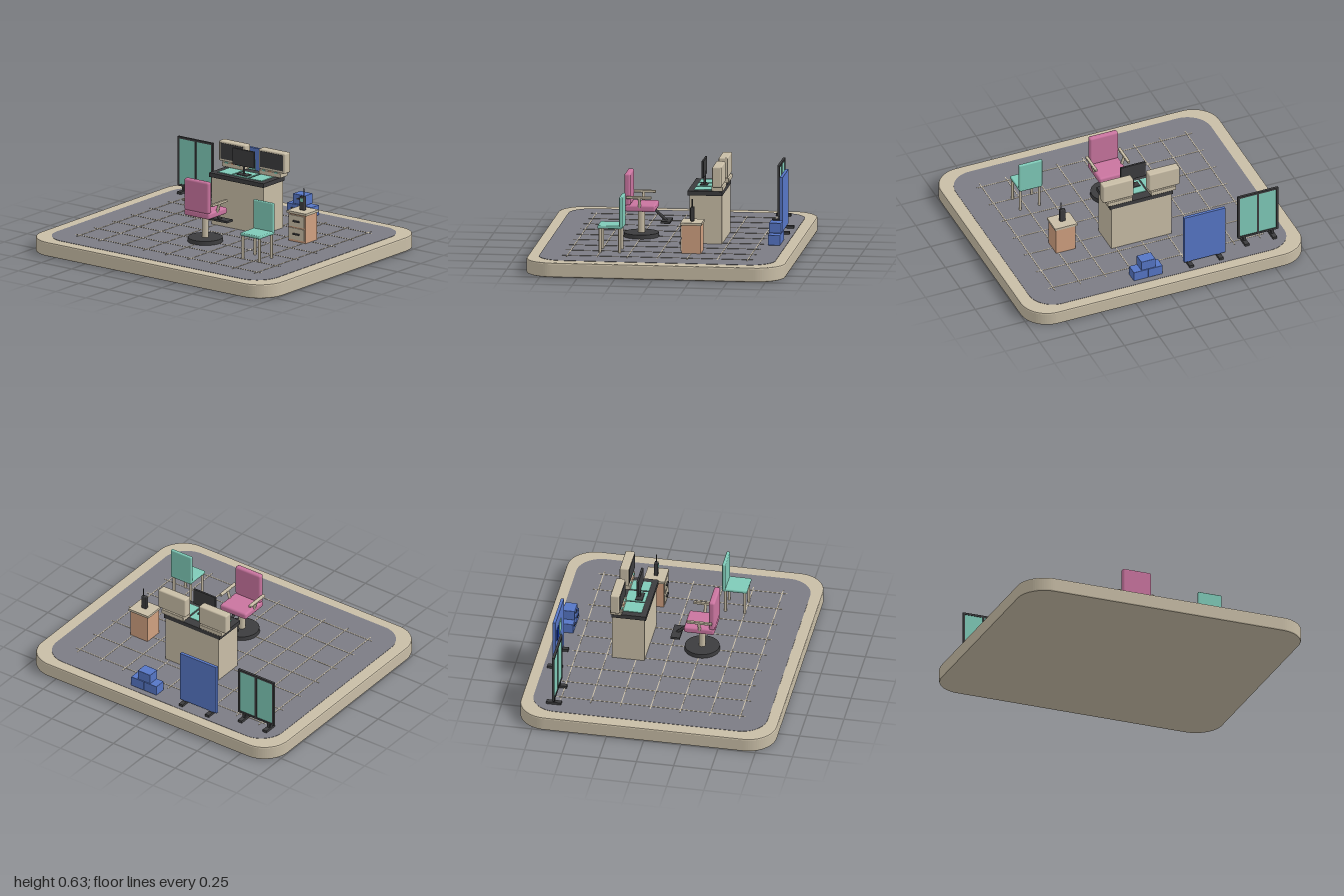
import * as THREE from 'three';
import { RoundedBoxGeometry } from 'three/addons/geometries/RoundedBoxGeometry.js';

function mat(name, color) {
  const m = new THREE.MeshStandardMaterial({ color });
  m.name = name;
  return m;
}

export function createModel() {
  const beige = mat('beige', 0xc8bda6), dark = mat('charcoal', 0x3c3c3e), gray = mat('floorGray', 0x7c7c84);
  const mint = mat('mint', 0x7fcab8), pink = mat('pink', 0xc9749f), blue = mat('blue', 0x5676c6);
  const deepBlue = mat('deepBlue', 0x1040d0), wood = mat('wood', 0xd0a080);
  const model = new THREE.Group();
  model.name = 'officeDiorama';

  const group = (name) => {
    const g = new THREE.Group();
    g.name = name;
    model.add(g);
    return g;
  };
  const put = (parent, name, geo, material, x = 0, y = 0, z = 0) => {
    const m = new THREE.Mesh(geo, material);
    m.name = name;
    m.position.set(x, y, z);
    parent.add(m);
    return m;
  };
  // Box given by its limits on each axis; r rounds the edges
  const box = (parent, name, material, x0, x1, y0, y1, z0, z1, r = 0) => {
    const s = [x1 - x0, y1 - y0, z1 - z0];
    const geo = r ? new RoundedBoxGeometry(...s, 2, r) : new THREE.BoxGeometry(...s);
    return put(parent, name, geo, material, (x0 + x1) / 2, (y0 + y1) / 2, (z0 + z1) / 2);
  };
  // Straight round bar between two points
  const bar = (parent, name, material, a, b, r) => {
    const p = new THREE.Vector3(...a), q = new THREE.Vector3(...b), d = q.clone().sub(p);
    const m = put(parent, name, new THREE.CylinderGeometry(r, r, d.length(), 12), material);
    m.position.copy(p).add(q).multiplyScalar(0.5);
    m.quaternion.setFromUnitVectors(new THREE.Vector3(0, 1, 0), d.normalize());
    return m;
  };
  // Horizontal slab with rounded corners
  const slab = (name, material, hx, hz, r, y0, y1, bevel) => {
    const x = hx - bevel, z = hz - bevel, c = r - bevel;
    const s = new THREE.Shape();
    s.absarc(x - c, z - c, c, 0, Math.PI / 2);
    s.absarc(-x + c, z - c, c, Math.PI / 2, Math.PI);
    s.absarc(-x + c, -z + c, c, Math.PI, Math.PI * 1.5);
    s.absarc(x - c, -z + c, c, Math.PI * 1.5, Math.PI * 2);
    const geo = new THREE.ExtrudeGeometry(s, {
      depth: y1 - y0 - 2 * bevel, bevelEnabled: bevel > 0, bevelSize: bevel,
      bevelThickness: bevel, bevelSegments: 2, curveSegments: 10,
    });
    geo.rotateX(-Math.PI / 2);
    put(model, name, geo, material, 0, y0 + bevel, 0);
  };

  // Platform, carpet and floor grid
  slab('platform', beige, 1, 0.86, 0.19, 0, 0.098, 0.01);
  slab('floor', gray, 0.915, 0.785, 0.17, 0.09, 0.1, 0);
  const grid = group('floorGrid');
  for (let i = -4; i <= 4; i++) {
    const x = i * 0.184;
    box(grid, 'gridLineLong', beige, x - 0.003, x + 0.003, 0.099, 0.102, -0.635, 0.635);
  }
  for (let i = -3; i <= 3; i++) {
    const z = i * 0.2;
    box(grid, 'gridLineCross', beige, -0.77, 0.77, 0.099, 0.1017, z - 0.003, z + 0.003);
  }

  // Desk with three mint pads
  const desk = group('desk');
  box(desk, 'deskBody', beige, -0.215, 0.215, 0.1, 0.424, -0.36, -0.145);
  box(desk, 'deskTop', dark, -0.225, 0.225, 0.424, 0.453, -0.363, -0.132);
  for (const [x0, x1] of [[-0.182, -0.07], [-0.057, 0.062], [0.078, 0.182]])
    box(desk, 'deskPad', mint, x0, x1, 0.452, 0.457, -0.3, -0.17);

  // Two rear monitors on trays
  for (const s of [-1, 1]) {
    const g = group(s < 0 ? 'rightRearMonitor' : 'leftRearMonitor');
    const cx = s * 0.165;
    box(g, 'tray', beige, s * 0.155 - 0.09, s * 0.155 + 0.09, 0.457, 0.489, -0.37, -0.293, 0.005);
    box(g, 'monitorCase', beige, cx - 0.11, cx + 0.11, 0.489, 0.627, -0.363, -0.302, 0.009);
    box(g, 'screen', dark, cx - 0.094, cx + 0.094, 0.506, 0.614, -0.304, -0.299);
    for (let i = -1; i <= 1; i++)
      box(g, 'trayButton', i ? mint : wood, s * 0.155 + i * 0.05 - 0.012, s * 0.155 + i * 0.05 + 0.012, 0.482, 0.492, -0.3, -0.292);
  }

  // Slim centre monitor
  const centre = group('centreMonitor');
  box(centre, 'monitorFoot', dark, -0.045, 0.045, 0.453, 0.463, -0.24, -0.19, 0.003);
  bar(centre, 'monitorPost', dark, [0, 0.46, -0.217], [0, 0.55, -0.217], 0.008);
  box(centre, 'monitorPanel', dark, -0.09, 0.09, 0.515, 0.63, -0.223, -0.208, 0.004);

  // Drawer cabinet
  const cabinet = group('drawerCabinet');
  box(cabinet, 'cabinetBody', wood, 0.43, 0.57, 0.1, 0.29, -0.265, -0.138);
  box(cabinet, 'cabinetTop', beige, 0.42, 0.58, 0.29, 0.306, -0.272, -0.13);
  for (const y of [0.155, 0.243]) {
    box(cabinet, 'drawerFront', beige, 0.436, 0.564, y - 0.039, y + 0.039, -0.139, -0.131);
    box(cabinet, 'drawerHandle', dark, 0.475, 0.525, y - 0.005, y + 0.005, -0.132, -0.12);
  }

  // Cordless phone on the cabinet
  const phone = group('phone');
  box(phone, 'phoneBody', dark, 0.48, 0.52, 0.306, 0.4, -0.214, -0.188, 0.006);
  box(phone, 'phoneScreen', mint, 0.487, 0.513, 0.365, 0.388, -0.19, -0.186);
  bar(phone, 'antenna', dark, [0.509, 0.395, -0.201], [0.509, 0.455, -0.201], 0.004);

  // Pink treatment chair, facing the desk
  const chair = group('pinkChair');
  put(chair, 'chairBase', new THREE.CylinderGeometry(0.115, 0.118, 0.027, 32), dark, 0, 0.1135, 0.203);
  bar(chair, 'chairPost', beige, [0, 0.12, 0.203], [0, 0.285, 0.203], 0.022);
  box(chair, 'chairSeat', pink, -0.105, 0.105, 0.28, 0.325, 0.098, 0.302, 0.014);
  box(chair, 'chairBack', pink, -0.102, 0.102, 0.318, 0.535, 0.265, 0.305, 0.014);
  for (const s of [-1, 1]) {
    const x = s * 0.117;
    box(chair, 'armrest', beige, x - 0.01, x + 0.01, 0.37, 0.388, 0.122, 0.29, 0.005);
    bar(chair, 'armSupport', beige, [s * 0.095, 0.305, 0.203], [s * 0.117, 0.375, 0.203], 0.01);
  }
  bar(chair, 'footrestArm', dark, [0, 0.285, 0.118], [0, 0.208, 0.035], 0.01);
  box(chair, 'footrest', dark, -0.075, 0.075, 0.2, 0.214, 0.003, 0.066);

  // Mint visitor chair
  const visitor = group('visitorChair');
  box(visitor, 'visitorSeat', mint, 0.45, 0.612, 0.26, 0.281, 0.25, 0.417, 0.007);
  box(visitor, 'visitorBack', mint, 0.447, 0.614, 0.27, 0.475, 0.25, 0.272, 0.008);
  for (const x of [0.463, 0.6]) for (const z of [0.27, 0.4])
    bar(visitor, 'visitorLeg', beige, [x, 0.1, z], [x, 0.265, z], 0.009);

  // Feet shared by the standing panels
  const feet = (g, xs, z, top) => {
    for (const x of xs) {
      box(g, 'panelFoot', dark, x - 0.015, x + 0.015, 0.1, 0.117, z - 0.05, z + 0.05);
      box(g, 'panelStub', dark, x - 0.009, x + 0.009, 0.115, top, z - 0.007, z + 0.007);
    }
  };

  // Mint privacy screen
  const divider = group('privacyScreen');
  for (const x of [-0.855, -0.716, -0.58])
    box(divider, 'screenPost', dark, x - 0.007, x + 0.007, 0.143, 0.482, -0.641, -0.625);
  for (const y of [0.15, 0.475])
    box(divider, 'screenRail', dark, -0.862, -0.573, y - 0.007, y + 0.007, -0.641, -0.625);
  for (const [x0, x1] of [[-0.848, -0.723], [-0.709, -0.587]])
    box(divider, 'screenPanel', mint, x0, x1, 0.157, 0.468, -0.637, -0.629);
  feet(divider, [-0.82, -0.62], -0.635, 0.146);

  // Blue notice board
  const board = group('noticeBoard');
  box(board, 'boardPanel', blue, -0.45, -0.157, 0.122, 0.485, -0.715, -0.695);
  for (const y of [0.362, 0.243]) {
    box(board, 'blueNotice', deepBlue, -0.415, -0.35, y - 0.043, y + 0.043, -0.696, -0.69);
    box(board, 'mintNotice', mint, -0.335, -0.27, y - 0.043, y + 0.043, -0.696, -0.69);
  }
  feet(board, [-0.405, -0.192], -0.708, 0.125);

  // Stack of storage boxes
  const boxes = group('storageBoxes');
  for (const [x, y] of [[0.063, 0.1], [0.168, 0.1], [0.114, 0.171]]) {
    box(boxes, 'storageBox', blue, x - 0.051, x + 0.051, y, y + 0.069, -0.747, -0.665, 0.004);
    box(boxes, 'boxHandle', dark, x - 0.018, x + 0.018, y + 0.034, y + 0.044, -0.667, -0.662);
  }
  return model;
}
